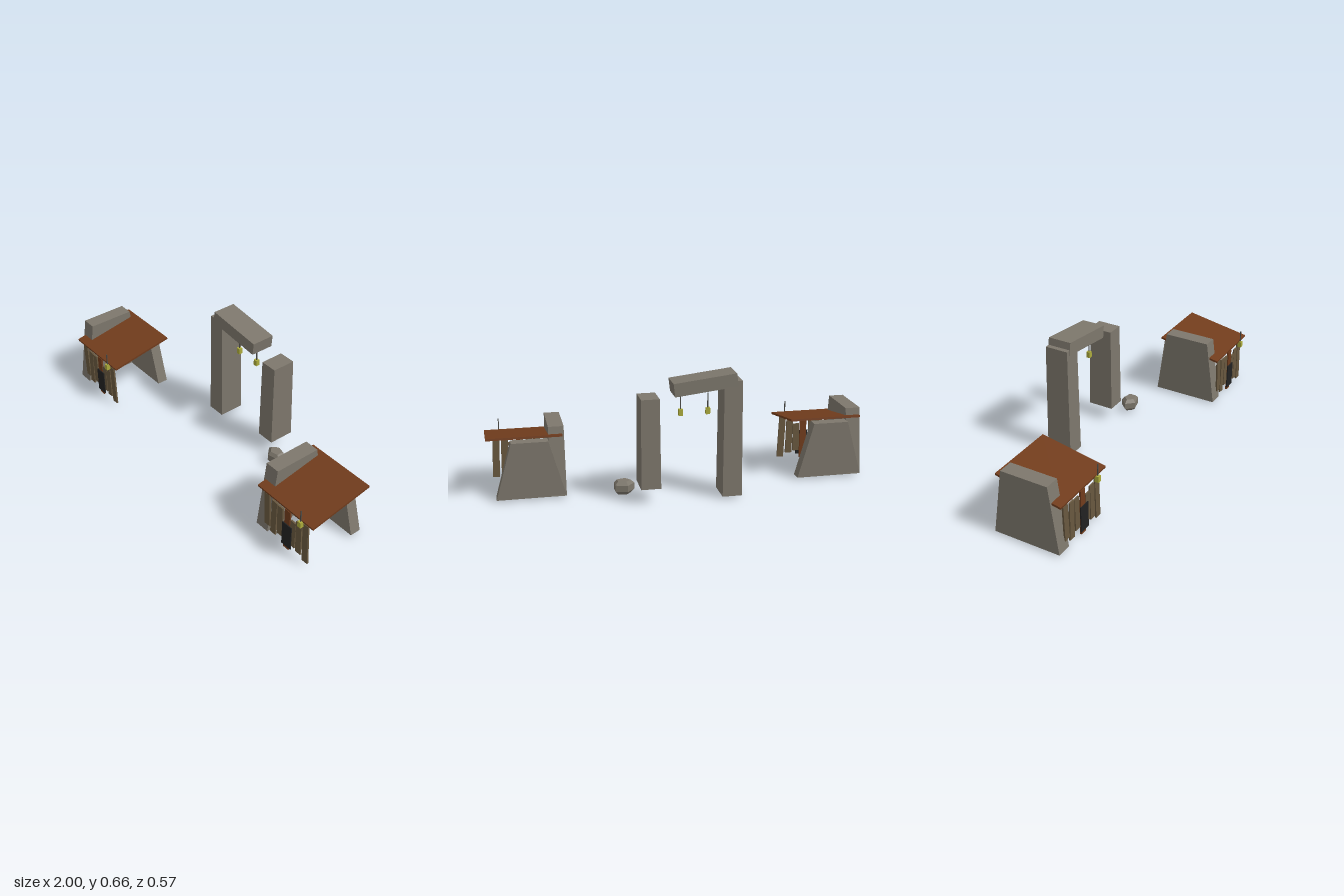
import * as THREE from 'three';

const mat = (name, color) => {
  const m = new THREE.MeshStandardMaterial({ color });
  m.name = name;
  return m;
};

export function createModel() {
  const stone = mat('stone', 0x7d776c);
  const roofWood = mat('reddish wood', 0x713c1c);
  const plankWood = mat('weathered wood', 0x68583f);
  const black = mat('black panel', 0x222222);
  const iron = mat('iron', 0x4c4c48);
  const glow = mat('lantern yellow', 0xacab3c);

  const root = new THREE.Group();
  root.name = 'ruinedVillage';

  // box centred on (x, z), standing on y, with its top scaled by (tx, tz)
  function block(parent, name, material, [w, h, d], [x, y, z], tx = 1, tz = 1) {
    const g = new THREE.BoxGeometry(w, h, d);
    const p = g.attributes.position;
    for (let i = 0; i < p.count; i++) {
      if (p.getY(i) > 0) p.setXYZ(i, p.getX(i) * tx, p.getY(i), p.getZ(i) * tz);
    }
    g.computeVertexNormals();
    const mesh = new THREE.Mesh(g, material);
    mesh.name = name;
    mesh.position.set(x, y + h / 2, z);
    parent.add(mesh);
    return mesh;
  }

  // small lantern on a rod; y is the underside of the lantern
  function lantern(parent, x, y, z, rodLength) {
    const g = new THREE.Group();
    g.name = 'lantern';
    g.position.set(x, y, z);
    block(g, 'lanternBox', glow, [0.021, 0.033, 0.021], [0, 0, 0]);
    block(g, 'lanternRod', iron, [0.005, rodLength, 0.005], [0, 0.033, 0]);
    parent.add(g);
  }

  // one stall: two stone walls, sloping roof, plank front
  function hut(x) {
    const g = new THREE.Group();
    g.name = 'hut';
    g.position.x = x;
    block(g, 'sideWall', stone, [0.08, 0.36, 0.362], [-0.1585, 0.013, 0.081], 1, 0.706);
    block(g, 'backWall', stone, [0.357, 0.299, 0.06], [-0.02, 0.013, -0.069], 0.53, 1);

    const roof = block(g, 'roof', roofWood, [0.386, 0.011, 0.362], [0.0055, 0.298, 0.092]);
    roof.rotation.x = 0.178;

    // planks: x, bottom, top, tilt
    const planks = [
      [-0.128, 0.055, 0.252, 0.05],
      [-0.08, 0.03, 0.238, -0.02],
      [-0.036, 0.055, 0.234, 0.02],
      [0.014, 0.003, 0.248, 0],
      [0.055, 0.045, 0.205, -0.02],
      [0.096, 0.035, 0.228, 0.02],
      [0.142, 0.014, 0.248, 0.04],
    ];
    planks.forEach(([px, y0, y1, tilt], i) => {
      const p = block(g, 'plank', i === 3 ? roofWood : plankWood,
        [0.037, y1 - y0, 0.009], [px, y0, 0.255]);
      p.rotation.z = tilt;
    });
    block(g, 'frontPanel', black, [0.064, 0.14, 0.006], [0.019, 0.022, 0.2615]);
    lantern(g, 0.12, 0.237, 0.2745, 0.065);
    root.add(g);
  }
  hut(-0.8015);
  hut(0.8015);

  // broken gateway
  const gate = new THREE.Group();
  gate.name = 'gateway';
  root.add(gate);
  block(gate, 'tallPost', stone, [0.102, 0.61, 0.14], [-0.229, 0.013, -0.213], 0.92, 0.91);
  block(gate, 'shortPost', stone, [0.102, 0.469, 0.14], [0.194, 0.083, -0.213], 0.92, 0.91);
  const lintel = block(gate, 'lintel', stone, [0.325, 0.069, 0.129], [-0.088, 0.575, -0.2125]);
  lintel.rotation.z = -0.116;
  for (const x of [-0.112, 0.029]) lantern(gate, x, 0.443, -0.2125, 0.078);

  // five-sided fallen stone
  const profile = [[0, 0], [0.038, 0], [0.057, 0.018], [0.057, 0.052], [0.038, 0.07], [0, 0.07]]
    .map(([r, y]) => new THREE.Vector2(r, y));
  const rockGeo = new THREE.LatheGeometry(profile, 5, -Math.PI / 2).toNonIndexed();
  rockGeo.computeVertexNormals();
  const rock = new THREE.Mesh(rockGeo, stone);
  rock.name = 'fallenStone';
  rock.position.set(0.311, 0.013, -0.12);
  rock.scale.z = 0.78;
  root.add(rock);

  return root;
}
